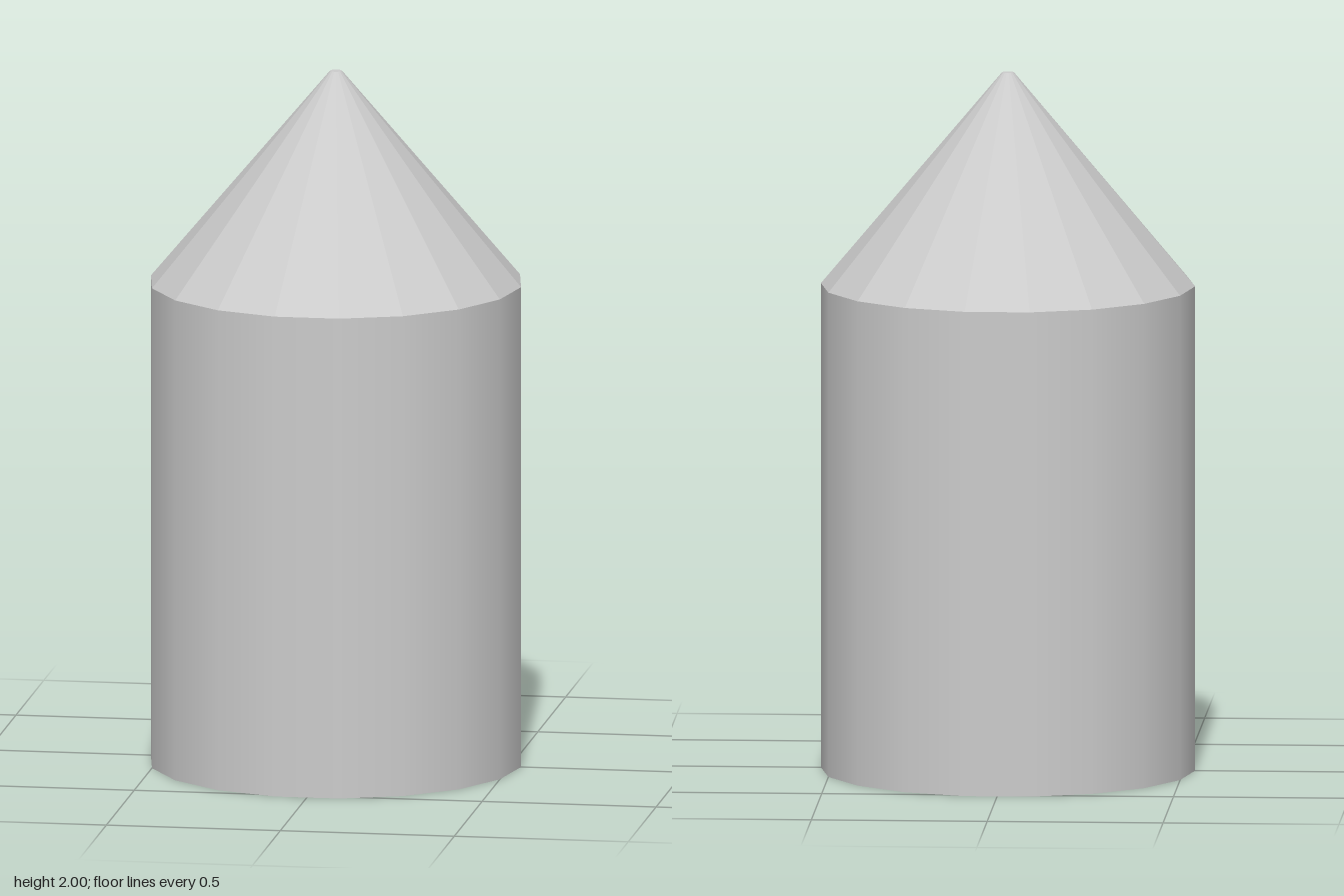
import * as THREE from 'three';

const SIDES = 18;
const RADIUS = 0.532;
const TIP_RADIUS = 0.017;
const SHOULDER = 1.39;
const HEIGHT = 2;

// Closed 18-sided section from y0 to y1, with a corner on the x axis
function section(name, bottomRadius, topRadius, y0, y1, openEnded, flatShading) {
  const geometry = new THREE.CylinderGeometry(
    topRadius, bottomRadius, y1 - y0, SIDES, 1, openEnded, Math.PI / 2);
  const material = new THREE.MeshStandardMaterial({ color: 0xcccccc, flatShading });
  const mesh = new THREE.Mesh(geometry, material);
  mesh.position.y = (y0 + y1) / 2;
  mesh.name = name;
  return mesh;
}

// Flat disc closing a section end; facing is 1 for up, -1 for down
function cap(name, radius, y, facing) {
  const mesh = new THREE.Mesh(
    new THREE.CircleGeometry(radius, SIDES),
    new THREE.MeshStandardMaterial({ color: 0xcccccc }));
  mesh.rotation.x = -facing * Math.PI / 2;
  mesh.position.y = y;
  mesh.name = name;
  return mesh;
}

export function createModel() {
  const model = new THREE.Group();
  model.name = 'pointedCylinder';
  model.add(
    // Smooth shaft and its base
    section('body', RADIUS, RADIUS, 0, SHOULDER, true, false),
    cap('base', RADIUS, 0, -1),
    // Faceted point with a tiny blunt end
    section('cone', RADIUS, TIP_RADIUS, SHOULDER, HEIGHT, true, true),
    cap('tip', TIP_RADIUS, HEIGHT, 1),
  );
  return model;
}
